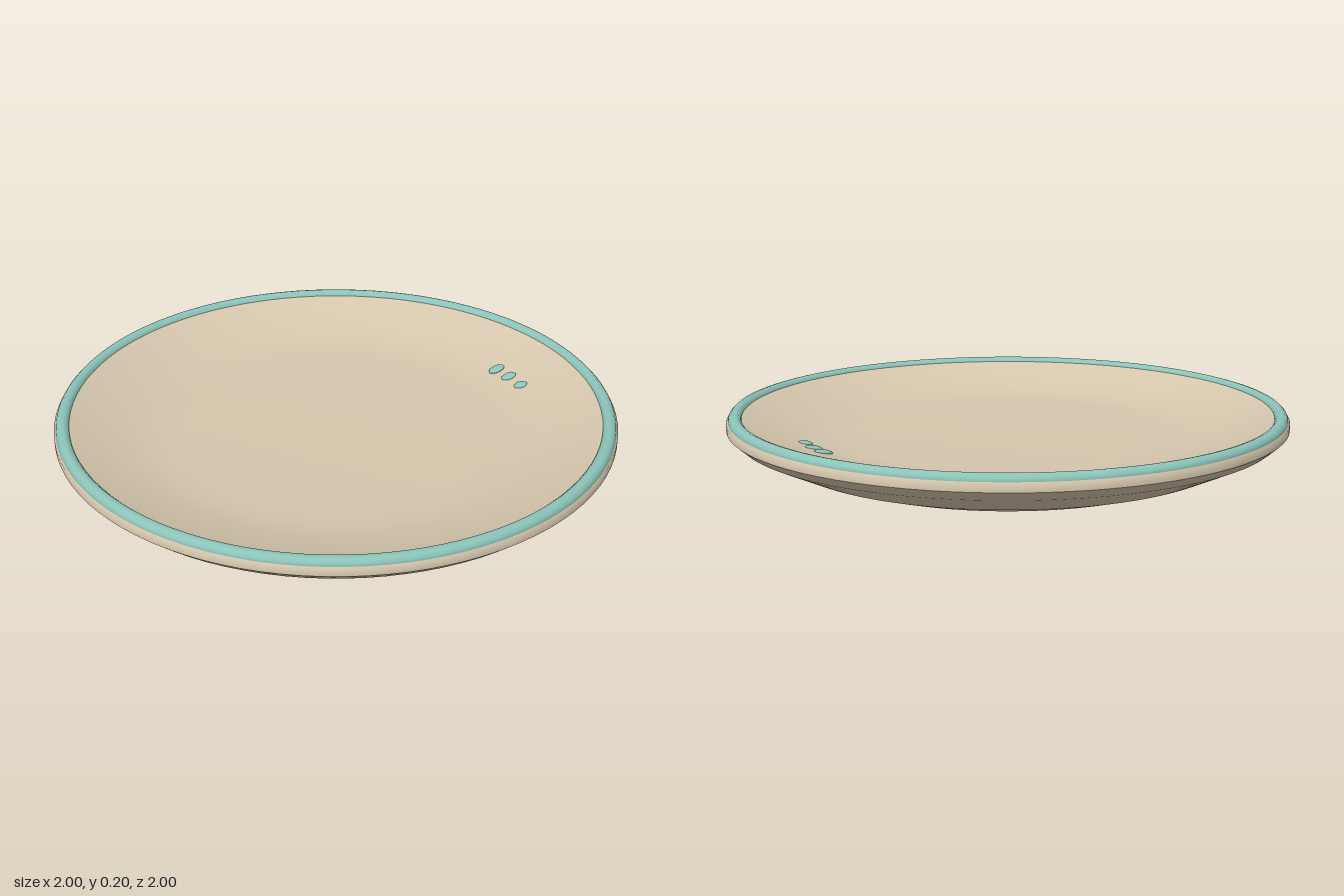
import * as THREE from 'three';

const SEGMENTS = 96;

export function createModel() {
  const plate = new THREE.Group();
  plate.name = 'plate';

  const stoneware = new THREE.MeshStandardMaterial({ color: 0xd6c7ad });
  stoneware.name = 'beige stoneware';
  const glaze = new THREE.MeshStandardMaterial({ color: 0x8cc4ba });
  glaze.name = 'teal glaze';

  const add = (name, geometry, material) => {
    const mesh = new THREE.Mesh(geometry, material);
    mesh.name = name;
    plate.add(mesh);
    return mesh;
  };
  // Profiles run from the bottom centre, round the edge, to the top centre
  const lathe = (points) =>
    new THREE.LatheGeometry(points.map(([r, y]) => new THREE.Vector2(r, y)), SEGMENTS);

  // Body, split where the edges are sharp
  add('underside', lathe([[0, 0], [0.6, 0], [0.69, 0.005], [0.8, 0.04], [0.96, 0.115], [1, 0.15]]), stoneware);
  add('edgeBand', lathe([[1, 0.15], [1, 0.175], [0.985, 0.19]]), stoneware);
  add('dishSurface', lathe([
    [0.97, 0.197], [0.95, 0.19], [0.85, 0.155], [0.74, 0.128], [0.66, 0.112], [0.55, 0.105], [0, 0.105],
  ]), stoneware);

  // Glazed bead along the lip
  const rim = add('rimBead', new THREE.TorusGeometry(0.969, 0.025, 12, SEGMENTS), glaze);
  rim.rotation.x = Math.PI / 2;
  rim.position.y = 0.18;

  // Three glazed dabs on the slope, shrinking towards the front
  [[0.72, 0.165, 0.034], [0.705, 0.235, 0.031], [0.68, 0.31, 0.026]].forEach(([x, z, size], i) => {
    const dab = add('glazeDab' + (i + 1), new THREE.SphereGeometry(1, 20, 12), glaze);
    dab.scale.set(size, 0.009, 0.021);
    dab.position.set(x, 0.13, z);
    dab.rotation.set(0, -Math.atan2(z, x), 0.2, 'YXZ');
  });

  return plate;
}
